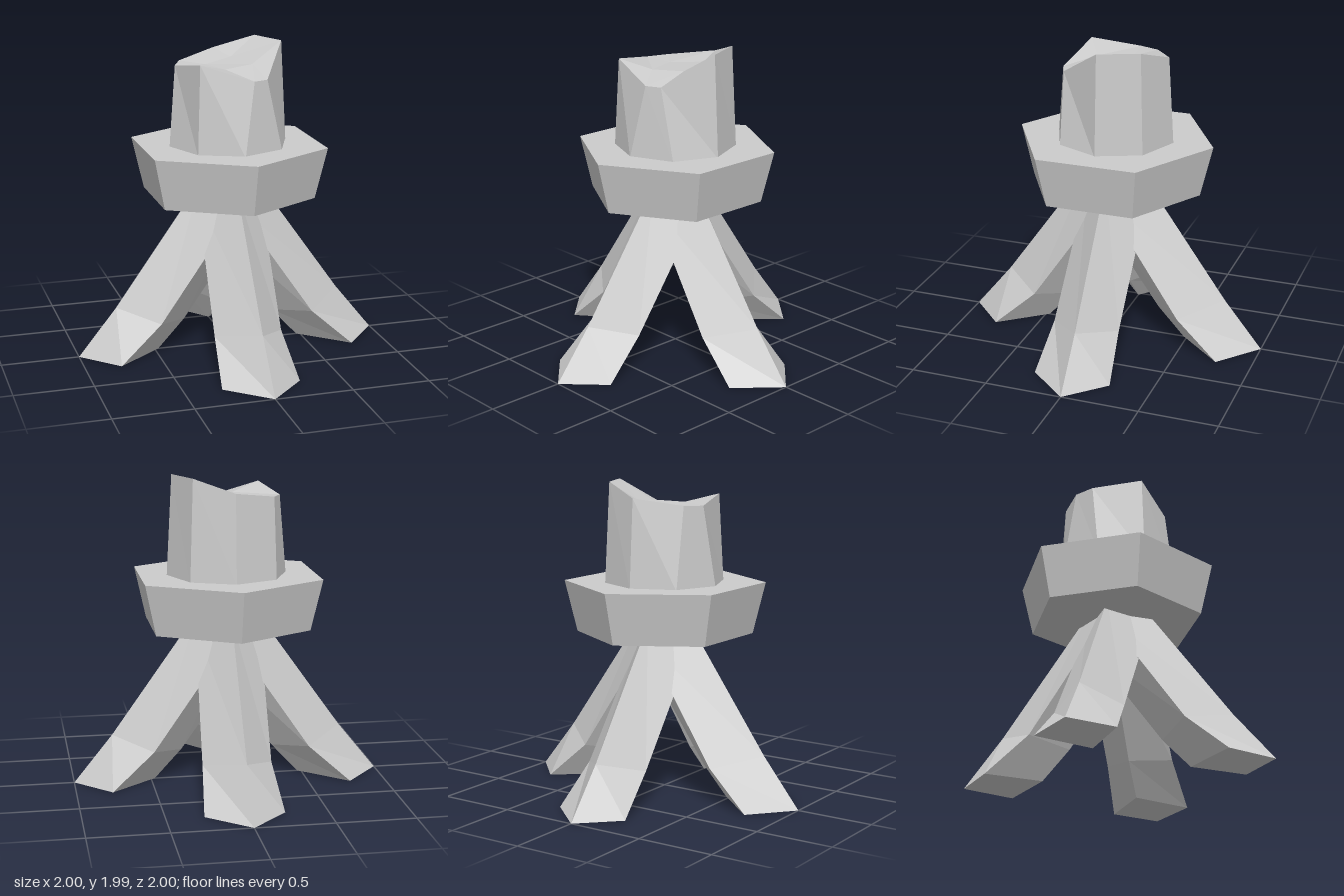
import * as THREE from 'three';

const material = new THREE.MeshStandardMaterial({ color: 0xcccccc, flatShading: true });

// Builds a flat-shaded mesh from a list of corner triples
function meshFrom(name, tris) {
  const geometry = new THREE.BufferGeometry();
  geometry.setAttribute('position', new THREE.Float32BufferAttribute(tris.flat(2), 3));
  geometry.computeVertexNormals();
  const mesh = new THREE.Mesh(geometry, material);
  mesh.name = name;
  return mesh;
}

// Side triangles between rings; rings run from +x towards +z, lowest first
function loft(rings) {
  const tris = [];
  for (let r = 0; r < rings.length - 1; r++) {
    const a = rings[r], b = rings[r + 1], n = a.length;
    for (let i = 0; i < n; i++) {
      const j = (i + 1) % n;
      tris.push([a[i], b[i], b[j]], [a[i], b[j], a[j]]);
    }
  }
  return tris;
}

// Diamond-section leg reaching out along +z, with a splayed foot
function leg(name) {
  const foot = [[0.235, 0, 0.77], [0, 0, 1], [-0.265, 0, 0.77], [0, 0, 0.475]];
  const ankle = [[0.2, 0.24, 0.5], [0, 0.31, 0.75], [-0.235, 0.24, 0.5], [0, 0.19, 0.3]];
  const top = [[0.22, 1, -0.02], [0, 1.1, 0.19], [-0.2, 1, -0.02], [0, 0.9, -0.2]];
  const tris = loft([foot, ankle, top]);
  tris.push([foot[0], foot[1], foot[2]], [foot[0], foot[2], foot[3]]);
  tris.push([top[0], top[2], top[1]], [top[0], top[3], top[2]]);
  return meshFrom(name, tris);
}

// Eight-sided crown with an uneven rim and a dented top
function crown() {
  const base = [];
  for (let i = 0; i < 8; i++) {
    const a = (i * Math.PI) / 4;
    base.push([0.385 * Math.cos(a), 1.34, 0.385 * Math.sin(a)]);
  }
  const rim = [
    [0.35, 1.99, 0], [0.17, 1.8, 0.28], [0.075, 1.8, 0.32], [-0.25, 1.905, 0.25],
    [-0.33, 1.855, -0.06], [-0.27, 1.86, -0.19], [0, 1.905, -0.35], [0.25, 1.99, -0.25],
  ];
  const dent = [[0.14, 1.86, 0.06], [-0.06, 1.85, 0.14], [-0.13, 1.85, -0.07], [0.07, 1.87, -0.18]];
  const tris = loft([base, rim]);
  for (let i = 0; i < 8; i++) {
    const j = (i + 1) % 8;
    const p = dent[i >> 1], q = dent[j >> 1];
    tris.push([rim[i], p, rim[j]]);
    if (p !== q) tris.push([p, q, rim[j]]);
  }
  tris.push([dent[0], dent[2], dent[1]], [dent[0], dent[3], dent[2]]);
  return meshFrom('crown', tris);
}

export function createModel() {
  const model = new THREE.Group();
  model.name = 'fourLeggedStump';

  // Four legs, a quarter turn apart
  ['frontLeg', 'leftLeg', 'backLeg', 'rightLeg'].forEach((name, i) => {
    const part = leg(name);
    part.rotation.y = (i * Math.PI) / 2;
    model.add(part);
  });

  // Hexagonal collar, wider at the top
  const collar = new THREE.Mesh(new THREE.CylinderGeometry(0.645, 0.565, 0.33, 6), material);
  collar.name = 'collar';
  collar.position.y = 1.185;
  model.add(collar);

  model.add(crown());
  return model;
}
